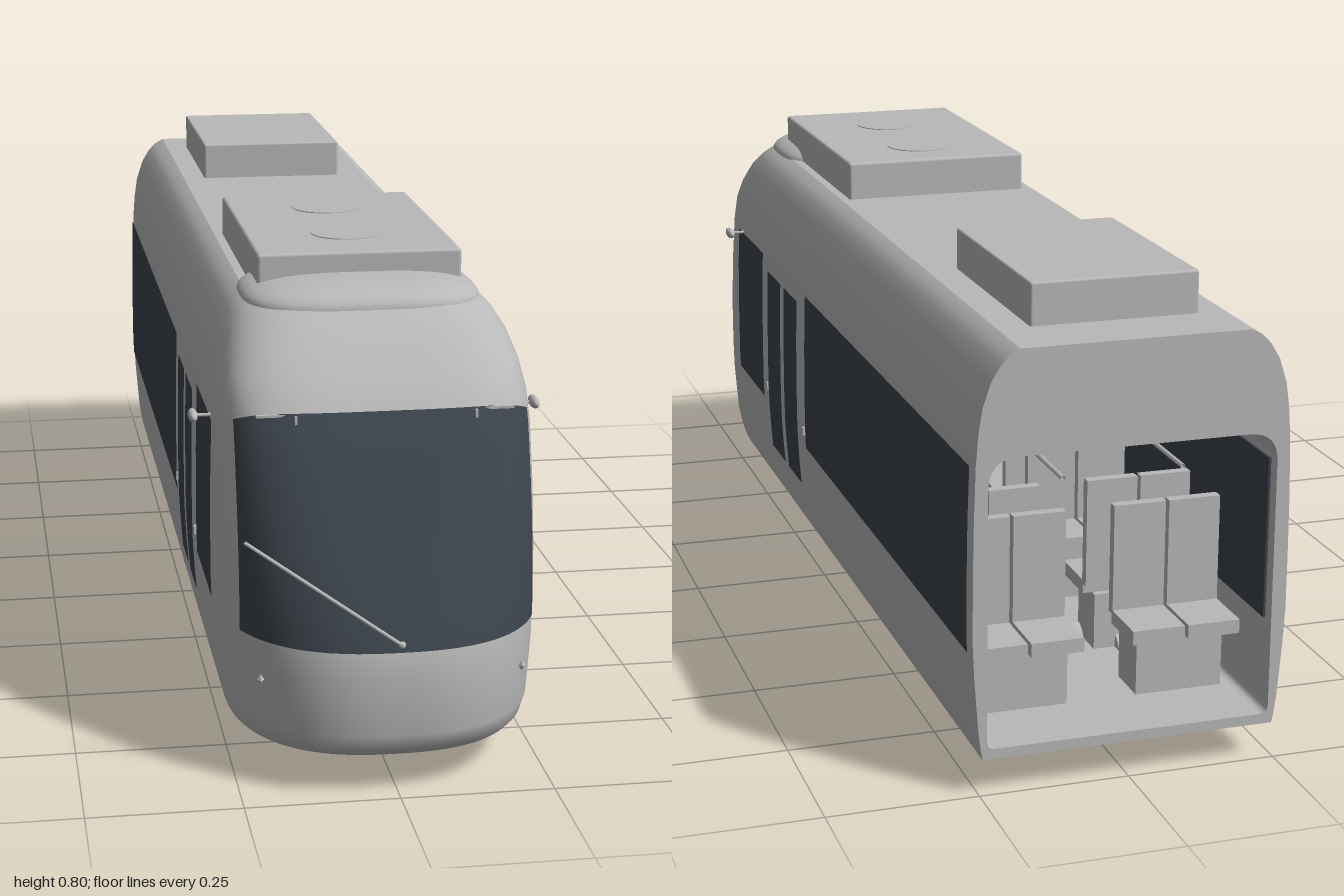
import * as THREE from 'three';
import { RoundedBoxGeometry } from 'three/addons/geometries/RoundedBoxGeometry.js';

const paint = new THREE.MeshStandardMaterial({ color: 0xb9b9b9, side: THREE.DoubleSide });
paint.name = 'light grey paint';
const glass = new THREE.MeshStandardMaterial({ color: 0x3d454d, side: THREE.DoubleSide });
glass.name = 'dark glass';

// Body levels: height, half width, nose z
const LEVELS = [
  [0.065, 0.245, 0.965], [0.08, 0.248, 0.985], [0.11, 0.252, 1.0], [0.2, 0.259, 1.0], [0.26, 0.262, 0.993],
  [0.35, 0.262, 0.955], [0.45, 0.261, 0.91], [0.55, 0.258, 0.865], [0.6, 0.254, 0.838],
  [0.64, 0.248, 0.805], [0.68, 0.235, 0.767], [0.705, 0.22, 0.738], [0.72, 0.206, 0.718], [0.73, 0.188, 0.7],
];
const lerp = THREE.MathUtils.lerp;

// Half width, nose, nose depth and squareness of the plan outline at height y
function section(y) {
  let i = 0;
  while (i < LEVELS.length - 2 && y > LEVELS[i + 1][0]) i++;
  const a = LEVELS[i], b = LEVELS[i + 1], t = (y - a[0]) / (b[0] - a[0]);
  const k = THREE.MathUtils.clamp((y - 0.26) / 0.34, 0, 1);
  return { w: lerp(a[1], b[1], t), n: lerp(a[2], b[2], t), d: lerp(0.3, 0.2, k), e: lerp(2.5, 4, k) };
}

// Grid surface from point(i, j)
function patch(point, nu, nv) {
  const pos = [], idx = [];
  for (let j = 0; j <= nv; j++) for (let i = 0; i <= nu; i++) pos.push(...point(i, j));
  for (let j = 0; j < nv; j++) for (let i = 0; i < nu; i++) {
    const a = j * (nu + 1) + i, c = a + nu + 1;
    idx.push(a, c, a + 1, a + 1, c, c + 1);
  }
  const g = new THREE.BufferGeometry();
  g.setAttribute('position', new THREE.Float32BufferAttribute(pos, 3));
  g.setIndex(idx);
  g.computeVertexNormals();
  return g;
}

// Plan outline from rear, round the nose, to rear
function outlinePoint(i, n, y) {
  const s = section(y);
  if (i === 0 || i === n) return [i ? -s.w : s.w, y, -1];
  const a = (i - 1) / (n - 2) * Math.PI, c = Math.cos(a);
  return [s.w * Math.sign(c) * Math.abs(c) ** (2 / s.e), y, s.n - s.d + s.d * Math.max(0, Math.sin(a)) ** (2 / s.e)];
}

export function createModel() {
  const model = new THREE.Group();
  function add(name, geo, mat = paint, x = 0, y = 0, z = 0, parent = model) {
    const m = new THREE.Mesh(geo, mat);
    m.name = name;
    m.position.set(x, y, z);
    parent.add(m);
    return m;
  }
  const box = (name, w, h, d, x, y, z, parent) => add(name, new THREE.BoxGeometry(w, h, d), paint, x, y, z, parent);
  function rod(name, a, b, r, parent) {
    return add(name, new THREE.TubeGeometry(new THREE.LineCurve3(new THREE.Vector3(...a), new THREE.Vector3(...b)), 1, r, 8), paint, 0, 0, 0, parent);
  }
  const across = (r, l) => new THREE.CylinderGeometry(r, r, l, 28).rotateZ(Math.PI / 2);

  // Outer shell, roof and underside
  const N = 66;
  add('bodyShell', patch((i, j) => outlinePoint(i, N, LEVELS[j][0]), N, LEVELS.length - 1));
  for (const [name, y, s] of [['roof', 0.73, -1], ['underside', 0.065, 1]]) {
    const pts = [];
    for (let i = 0; i <= N; i++) {
      const p = outlinePoint(i, N, y);
      pts.push(new THREE.Vector2(p[0], s * p[2]));
    }
    add(name, new THREE.ShapeGeometry(new THREE.Shape(pts)).rotateX(s * Math.PI / 2), paint, 0, y, 0);
  }

  // Open rear end and the saloon lining
  const W = 0.238, B = 0.082, T = 0.56, R = 0.05, r = 0.015;
  const opening = new THREE.Shape();
  opening.moveTo(-W + r, B).lineTo(W - r, B).quadraticCurveTo(W, B, W, B + r)
    .lineTo(W, T - R).quadraticCurveTo(W, T, W - R, T).lineTo(-W + R, T)
    .quadraticCurveTo(-W, T, -W, T - R).lineTo(-W, B + r).quadraticCurveTo(-W, B, -W + r, B);
  const ring = opening.getPoints(8);
  const rearPts = [...LEVELS.map(l => new THREE.Vector2(l[1], l[0])),
    ...[...LEVELS].reverse().map(l => new THREE.Vector2(-l[1], l[0]))];
  const rear = new THREE.Shape(rearPts);
  rear.holes.push(new THREE.Path(ring));
  add('rearFrame', new THREE.ShapeGeometry(rear).rotateY(Math.PI), paint, 0, 0, -1);
  add('saloonLining', patch((i, j) => [ring[i].x, ring[i].y, j ? 0.6 : -1], ring.length - 1, 1).toNonIndexed())
    .geometry.computeVertexNormals();
  add('cabBulkhead', new THREE.ShapeGeometry(opening).rotateY(Math.PI), paint, 0, 0, 0.6);

  // Windscreen following the nose
  add('windscreen', patch((i, j) => {
    const x = 0.237 * Math.sin((1 - i / 16) * Math.PI / 2), q = Math.abs(x) / 0.237;
    const y = lerp(0.25, 0.598 - 0.018 * q ** 8, j / 14), s = section(y);
    return [x * 1.008, y, s.n - s.d + s.d * (1 - (Math.abs(x) / s.w) ** s.e) ** (1 / s.e) + 0.006];
  }, 32, 14), glass);
  rod('wiper', [0, 0.262, 1.0], [-0.24, 0.424, 0.945], 0.003);
  add('wiperPivot', new THREE.SphereGeometry(0.006, 10, 8), paint, 0, 0.262, 0.998);

  for (const s of [1, -1]) {
    // Panels that follow the slightly curved side
    const panel = (name, z0, z1, y0, y1, off, mat) => add(name, patch((i, j) => {
      const y = lerp(y0, y1, j / 8);
      return [s * (section(y).w + off), y, i === (s > 0 ? 0 : 1) ? z0 : z1];
    }, 1, 8), mat);
    panel('longWindow', -0.977, 0.08, 0.24, 0.545, 0.003, glass);
    panel('cabSideWindow', 0.445, 0.677, 0.24, 0.545, 0.003, glass);
    for (const [z0, z1, p0, p1] of [[0.12, 0.258, 0.138, 0.247], [0.262, 0.405, 0.277, 0.39]]) {
      panel('doorLeaf', z0, z1, 0.108, 0.545, 0.002, paint);
      panel('doorGlass', p0, p1, 0.148, 0.52, 0.005, glass);
    }
    for (const z of [0.117, 0.26, 0.408]) panel('doorPost', z - 0.004, z + 0.004, 0.105, 0.548, 0.005, paint);
    for (const y of [0.105, 0.544]) panel('doorRail', 0.117, 0.408, y, y + 0.005, 0.004, paint);
    for (const z of [0.095, 0.415]) box('doorButton', 0.008, 0.015, 0.01, s * 0.263, 0.27, z);

    // Inner faces of the side windows
    for (const [z0, z1] of [[-0.977, 0.08], [0.138, 0.39], [0.445, 0.59]])
      add('innerGlass', new THREE.BoxGeometry(0.004, 0.27, z1 - z0), glass, s * 0.236, 0.375, (z0 + z1) / 2);

    // Mirrors, lamps and windscreen brackets
    rod('mirrorArm', [s * 0.25, 0.545, 0.64], [s * 0.29, 0.545, 0.64], 0.003);
    add('mirror', new THREE.SphereGeometry(1, 16, 12), paint, s * 0.288, 0.545, 0.64).scale.set(0.008, 0.01, 0.026);
    const lamp = add('lamp', new THREE.OctahedronGeometry(1), paint, s * 0.212, 0.183, 0.913);
    lamp.scale.set(0.006, 0.009, 0.008);
    box('bracketBar', 0.065, 0.004, 0.006, s * 0.175, 0.594, 0.835);
    box('bracketEnd', 0.004, 0.014, 0.006, s * 0.145, 0.588, 0.845);
    rod('handrail', [s * 0.1, 0.5, -0.95], [s * 0.1, 0.5, 0.1], 0.004);

    // Paired seats, alternating in direction
    [-0.84, -0.62, -0.4, -0.18].forEach((z, k) => {
      const seats = new THREE.Group();
      seats.name = 'seatPair';
      seats.position.set(s * 0.135, 0, z);
      seats.rotation.y = k % 2 ? Math.PI : 0;
      model.add(seats);
      box('seatPlinth', 0.15, 0.1, 0.08, 0, 0.132, 0.01, seats);
      for (const x of [-0.048, 0.048]) {
        box('seatCushion', 0.09, 0.024, 0.1, x, 0.195, -0.01, seats);
        box('seatBack', 0.09, 0.19, 0.018, x, 0.295, 0.045, seats);
      }
    });
  }

  // Roof equipment with its rounded front fairing
  add('frontRoofUnit', new RoundedBoxGeometry(0.345, 0.08, 0.515, 2, 0.006), paint, 0, 0.76, 0.328);
  add('rearRoofUnit', new RoundedBoxGeometry(0.28, 0.08, 0.39, 2, 0.004), paint, -0.005, 0.76, -0.692);
  for (const z of [0.2, 0.43]) add('roofFan', new THREE.CylinderGeometry(0.06, 0.06, 0.003, 32), paint, 0, 0.8, z);
  const dome = new THREE.SphereGeometry(1, 40, 12, 0, Math.PI * 2, 0, Math.PI / 2);
  const p = dome.attributes.position, soft = v => Math.sign(v) * Math.abs(v) ** 0.65;
  for (let i = 0; i < p.count; i++)
    p.setXYZ(i, 0.2 * soft(p.getX(i)), 0.038 * p.getY(i), 0.15 * soft(p.getZ(i)));
  dome.computeVertexNormals();
  add('roofFairing', dome, paint, 0, 0.728, 0.555);

  // Bogie: flanged wheels, axles, brake discs and motors
  for (const [z, mz] of [[-0.262, -0.362], [-0.655, -0.59]]) {
    add('axle', across(0.01, 0.33), paint, 0, 0.065, z);
    for (const s of [1, -1]) {
      add('wheel', across(0.06, 0.026), paint, s * 0.168, 0.07, z);
      add('wheelFlange', across(0.066, 0.007), paint, s * 0.158, 0.07, z);
      add('brakeDisc', across(0.04, 0.011), paint, s * 0.104, 0.068, z);
      box('axleBox', 0.022, 0.02, 0.05, s * 0.19, 0.062, z);
    }
    add('motor', across(0.03, 0.16), paint, -0.015, 0.072, mz);
  }
  return model;
}
